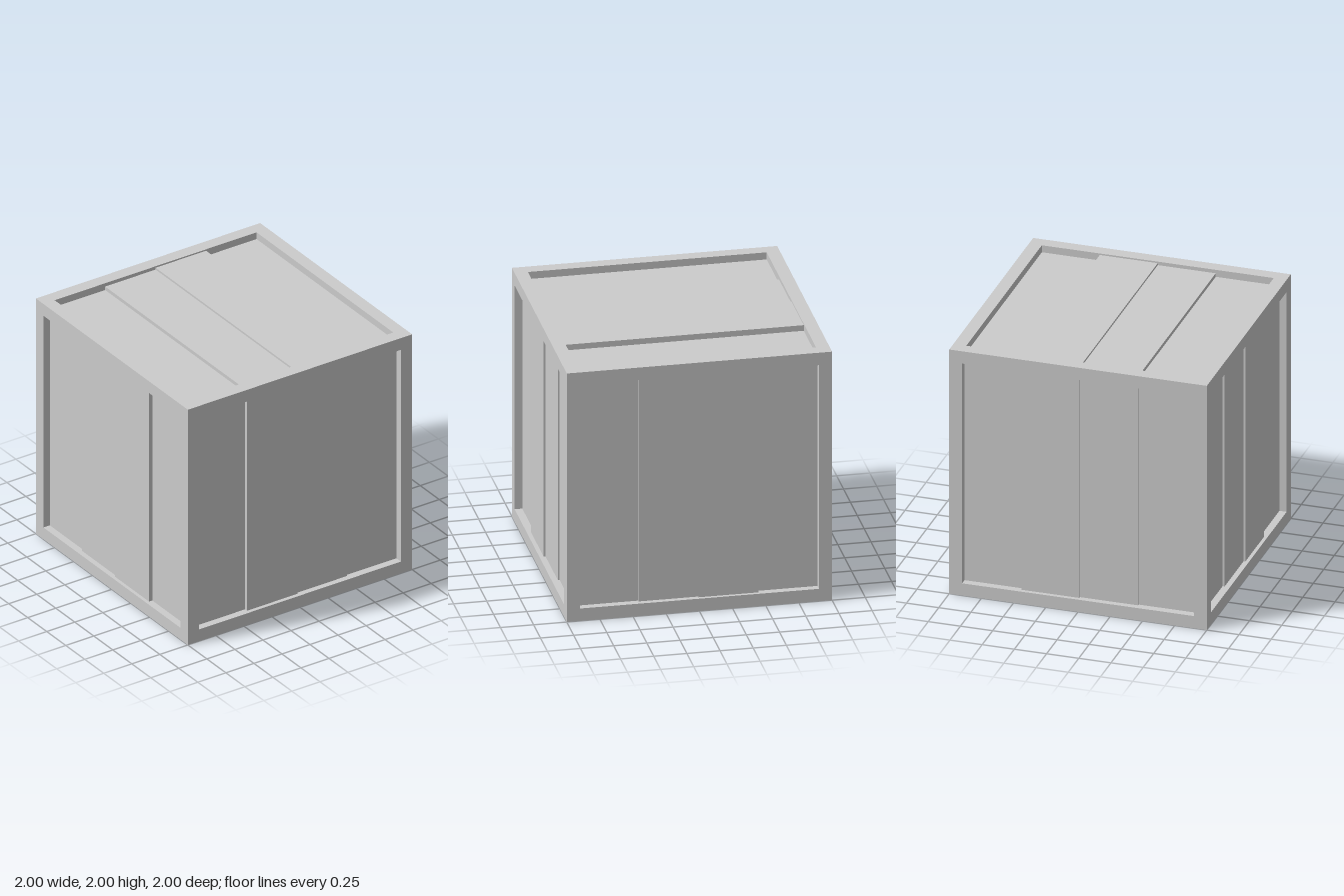
import * as THREE from 'three';

const HALF = 1, BORDER = 0.1, INNER = HALF - BORDER;
const PLANK_W = (2 * INNER) / 4;

const material = new THREE.MeshStandardMaterial({ color: 0xcccccc, flatShading: true });

// Mitred square border: a triangular section swept around four sides.
// Six of them meet along the cube's edges and form solid square beams.
function borderGeometry() {
  const section = [[INNER, -BORDER], [HALF, 0], [INNER, 0], [INNER, -BORDER]]
    .map(([r, y]) => new THREE.Vector2(r * Math.SQRT2, y));
  return new THREE.LatheGeometry(section, 4, Math.PI / 4);
}

// One crate side facing local +y, its four planks running along local z.
// Each plank is set back from the border by its own depth.
function createSide(name, border, depths) {
  const side = new THREE.Group();
  side.name = name;

  const frame = new THREE.Mesh(border, material);
  frame.name = 'frame';
  frame.position.y = HALF;
  side.add(frame);

  depths.forEach((depth, i) => {
    const thickness = BORDER - depth;
    const plank = new THREE.Mesh(
      new THREE.BoxGeometry(PLANK_W, thickness, 2 * INNER), material);
    plank.name = 'plank';
    plank.position.set(-INNER + PLANK_W * (i + 0.5), HALF - depth - thickness / 2, 0);
    side.add(plank);
  });
  return side;
}

export function createModel() {
  const crate = new THREE.Group();
  crate.name = 'crate';
  const border = borderGeometry();

  const lidDepths = [0.057, 0.028, 0.012, 0.057];
  const frontDepths = [0.058, 0.032, 0.046, 0.06];
  const sideDepths = [0.057, 0.041, 0.027, 0.056];

  // name, plank depths, tilt about x, turn about y, roll about z
  const sides = [
    ['top', lidDepths, 0, 0, 0],
    ['bottom', lidDepths, 0, 0, Math.PI],
    ['front', frontDepths, Math.PI / 2, 0, 0],
    ['back', frontDepths, Math.PI / 2, Math.PI, 0],
    ['leftSide', sideDepths, Math.PI / 2, Math.PI / 2, 0],
    ['rightSide', sideDepths, Math.PI / 2, -Math.PI / 2, 0],
  ];
  for (const [name, depths, tilt, turn, roll] of sides) {
    const side = createSide(name, border, depths);
    side.rotation.set(tilt, turn, roll, 'YXZ');
    side.position.y = HALF;
    crate.add(side);
  }
  return crate;
}
